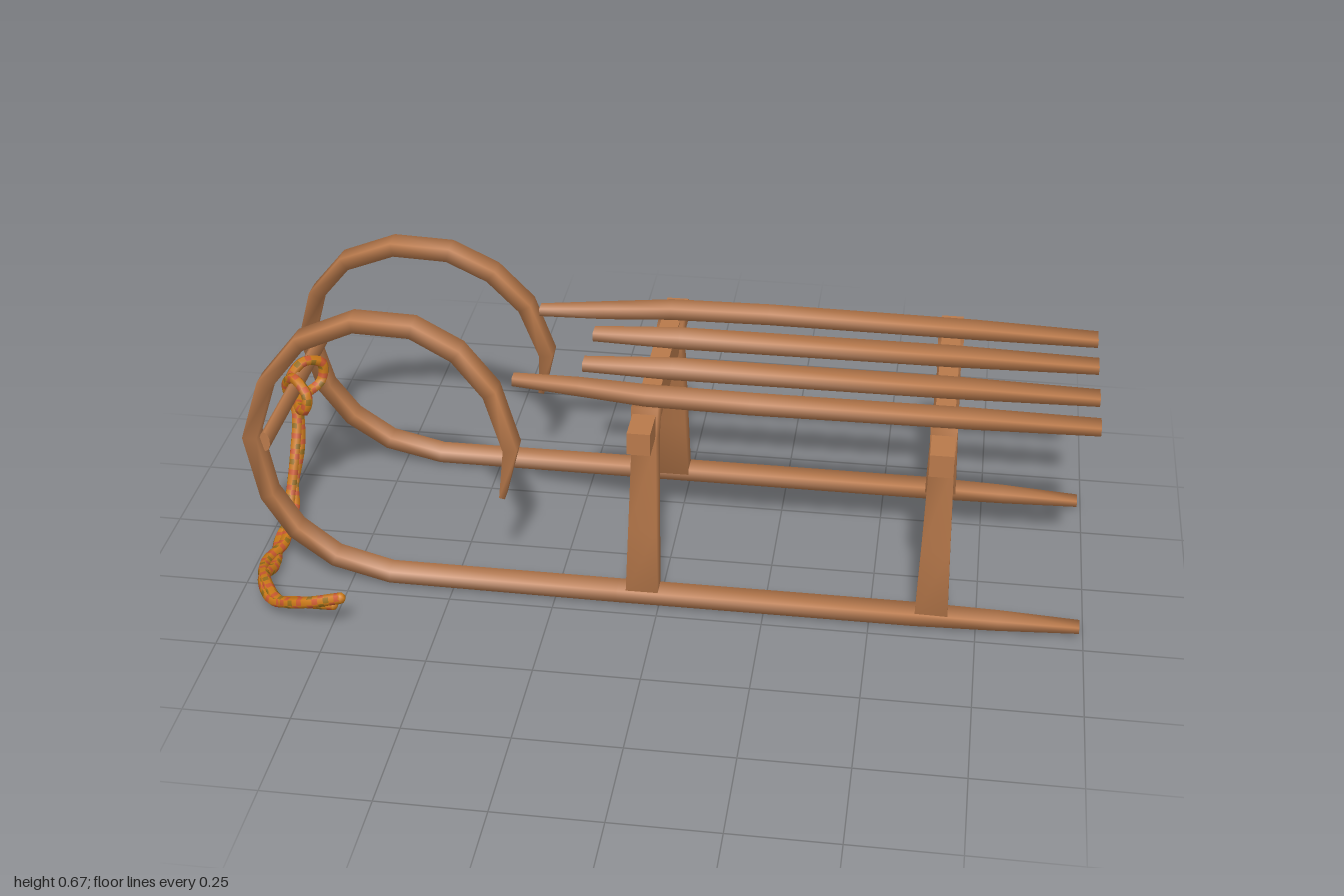
import * as THREE from 'three';

const MID = -0.09; // centre line of the sled in z
const material = (name, color) => new THREE.MeshStandardMaterial({ name, color });
const wood = material('wood', 0xb8794b);
const ropeOrange = material('ropeOrange', 0xcc7a18);
const ropeRed = material('ropeRed', 0xcc5a30);
const ropeOlive = material('ropeOlive', 0x986e1a);

// Sweeps a soft-edged bar along points [x, y, z, width, thickness]; width runs along the side axis.
function sweep(points, side) {
  const pos = [], index = [], n = points.length;
  const at = i => new THREE.Vector3(...points[Math.min(Math.max(i, 0), n - 1)].slice(0, 3));
  for (let i = 0; i < n; i++) {
    const tangent = at(i + 1).sub(at(i - 1)).normalize();
    const normal = tangent.cross(side).normalize();
    const [, , , w, t] = points[i];
    for (const [a, b] of [[1, 1], [-1, 1], [-1, -1], [1, -1]]) {
      const p = at(i).addScaledVector(side, a * w / 2).addScaledVector(normal, b * t / 2);
      pos.push(p.x, p.y, p.z);
    }
    if (i === 0) continue;
    const r = (i - 1) * 4;
    for (let k = 0; k < 4; k++) {
      const m = (k + 1) % 4;
      index.push(r + k, r + m, r + 4 + m, r + k, r + 4 + m, r + 4 + k);
    }
  }
  const e = (n - 1) * 4;
  index.push(0, 2, 1, 0, 3, 2, e, e + 1, e + 2, e, e + 2, e + 3);
  const geo = new THREE.BufferGeometry();
  geo.setAttribute('position', new THREE.Float32BufferAttribute(pos, 3));
  geo.setIndex(index);
  geo.computeVertexNormals();
  return geo;
}

export function createModel() {
  const group = new THREE.Group();
  const X = new THREE.Vector3(1, 0, 0), Z = new THREE.Vector3(0, 0, 1);
  const add = (name, geo, mat = wood) => {
    const mesh = new THREE.Mesh(geo, mat);
    mesh.name = name;
    group.add(mesh);
    return mesh;
  };

  // x, y, distance from centre line, width, thickness
  const runner = [
    [0.99, 0.021, 0.275, 0.034, 0.016], [0.8, 0.023, 0.278, 0.048, 0.026],
    [0.6, 0.024, 0.28, 0.054, 0.032], [-0.1, 0.024, 0.28, 0.054, 0.032],
    [-0.655, 0.025, 0.278, 0.052, 0.031], [-0.79, 0.058, 0.274, 0.052, 0.032],
    [-0.885, 0.125, 0.267, 0.052, 0.034], [-0.947, 0.215, 0.257, 0.052, 0.034],
    [-0.982, 0.365, 0.24, 0.052, 0.035], [-0.942, 0.498, 0.217, 0.052, 0.035],
    [-0.857, 0.602, 0.195, 0.054, 0.035], [-0.73, 0.655, 0.184, 0.055, 0.035],
    [-0.59, 0.65, 0.183, 0.055, 0.035], [-0.485, 0.597, 0.19, 0.055, 0.035],
    [-0.405, 0.508, 0.204, 0.055, 0.035], [-0.358, 0.37, 0.222, 0.052, 0.034],
    [-0.378, 0.248, 0.245, 0.036, 0.014],
  ];
  // The back horn leans in a little less than the front one
  const backRunner = runner.map(([x, y, z, w, t]) => [x, y, z + 0.1 * (0.28 - z) + 0.03 * y, w, t]);
  const outerSlat = [
    [-0.36, 0.524, 0.174, 0.03, 0.02], [-0.2, 0.526, 0.19, 0.042, 0.028],
    [-0.04, 0.528, 0.212, 0.052, 0.03], [0.2, 0.528, 0.218, 0.052, 0.03],
    [0.7, 0.527, 0.212, 0.052, 0.028], [0.995, 0.525, 0.207, 0.048, 0.02],
  ];
  const innerSlat = [
    [-0.21, 0.522, 0.075, 0.038, 0.022], [0, 0.525, 0.075, 0.054, 0.031],
    [0.65, 0.526, 0.075, 0.055, 0.03], [0.995, 0.525, 0.075, 0.047, 0.02],
  ];

  for (const s of [1, -1]) {
    const side = s > 0 ? 'front' : 'back';
    const place = pts => pts.map(([x, y, z, w, t]) => [x, y, MID + s * z, w, t]);
    add(side + 'Runner', sweep(place(s > 0 ? runner : backRunner), Z));
    add(side + 'OuterSlat', sweep(place(outerSlat), Z));
    add(side + 'InnerSlat', sweep(place(innerSlat), Z));
  }

  // Trestles: crossbeam, narrower end tenons and splayed legs
  for (const x of [-0.04, 0.645]) {
    const beam = add('crossbeam', new THREE.BoxGeometry(0.046, 0.081, 0.46));
    beam.position.set(x, 0.466, MID);
    for (const s of [1, -1]) {
      const tenon = add('beamEnd', new THREE.BoxGeometry(0.054, 0.056, 0.125));
      tenon.position.set(x, 0.468, MID + s * 0.271);
      add('leg', sweep([
        [x, 0.03, MID + s * 0.278, 0.077, 0.05], [x, 0.2, MID + s * 0.254, 0.067, 0.062],
        [x, 0.42, MID + s * 0.22, 0.056, 0.074], [x, 0.505, MID + s * 0.206, 0.062, 0.074],
      ], X));
    }
  }

  // Pull bar between the curled horns
  const bar = add('pullBar', new THREE.CylinderGeometry(0.026, 0.026, 0.53, 10));
  bar.rotation.x = Math.PI / 2;
  bar.scale.x = 0.5;
  bar.position.set(-0.952, 0.346, -0.11);

  // Rope: one strand up from its tip, hitched around the bar and back down
  const path = [
    [-0.72, 0.092, 0.408], [-0.8, 0.075, 0.412], [-0.88, 0.048, 0.375], [-0.935, 0.052, 0.3],
    [-0.965, 0.03, 0.2], [-0.945, 0.028, 0.1], [-0.962, 0.052, 0.005], [-0.955, 0.17, -0.06],
    [-0.955, 0.28, -0.108], [-0.975, 0.34, -0.112], [-0.945, 0.388, -0.08], [-0.903, 0.36, -0.045],
    [-0.91, 0.322, -0.042], [-0.94, 0.306, -0.085], [-0.94, 0.304, -0.145], [-0.91, 0.322, -0.19],
    [-0.905, 0.37, -0.195], [-0.945, 0.388, -0.16], [-0.975, 0.34, -0.13], [-0.955, 0.28, -0.125],
    [-0.952, 0.18, -0.105], [-0.965, 0.09, -0.068], [-0.95, 0.045, 0], [-0.968, 0.017, 0.07],
    [-0.945, 0.018, 0.19], [-0.945, 0.045, 0.285], [-0.9, 0.04, 0.365], [-0.83, 0.062, 0.395],
    [-0.74, 0.07, 0.405],
  ].map(p => new THREE.Vector3(...p));
  const sides = 6, steps = 180;
  const rope = new THREE.TubeGeometry(new THREE.CatmullRomCurve3(path), steps, 0.0135, sides);
  // Woven flecks: red and olive patches spiral along the orange strand
  const weave = [0, 1, 0, 2, 0, 1, 0];
  for (let j = 0; j < steps; j++) {
    for (let i = 0; i < sides; i++) {
      rope.addGroup((j * sides + i) * 6, 6, weave[(i * 3 + j) % weave.length]);
    }
  }
  add('pullRope', rope, [ropeOrange, ropeRed, ropeOlive]);
  // Rounded rope ends
  for (const p of [path[0], path[path.length - 1]]) {
    add('ropeEnd', new THREE.SphereGeometry(0.0135, 7, 5), ropeOrange).position.copy(p);
  }
  return group;
}
